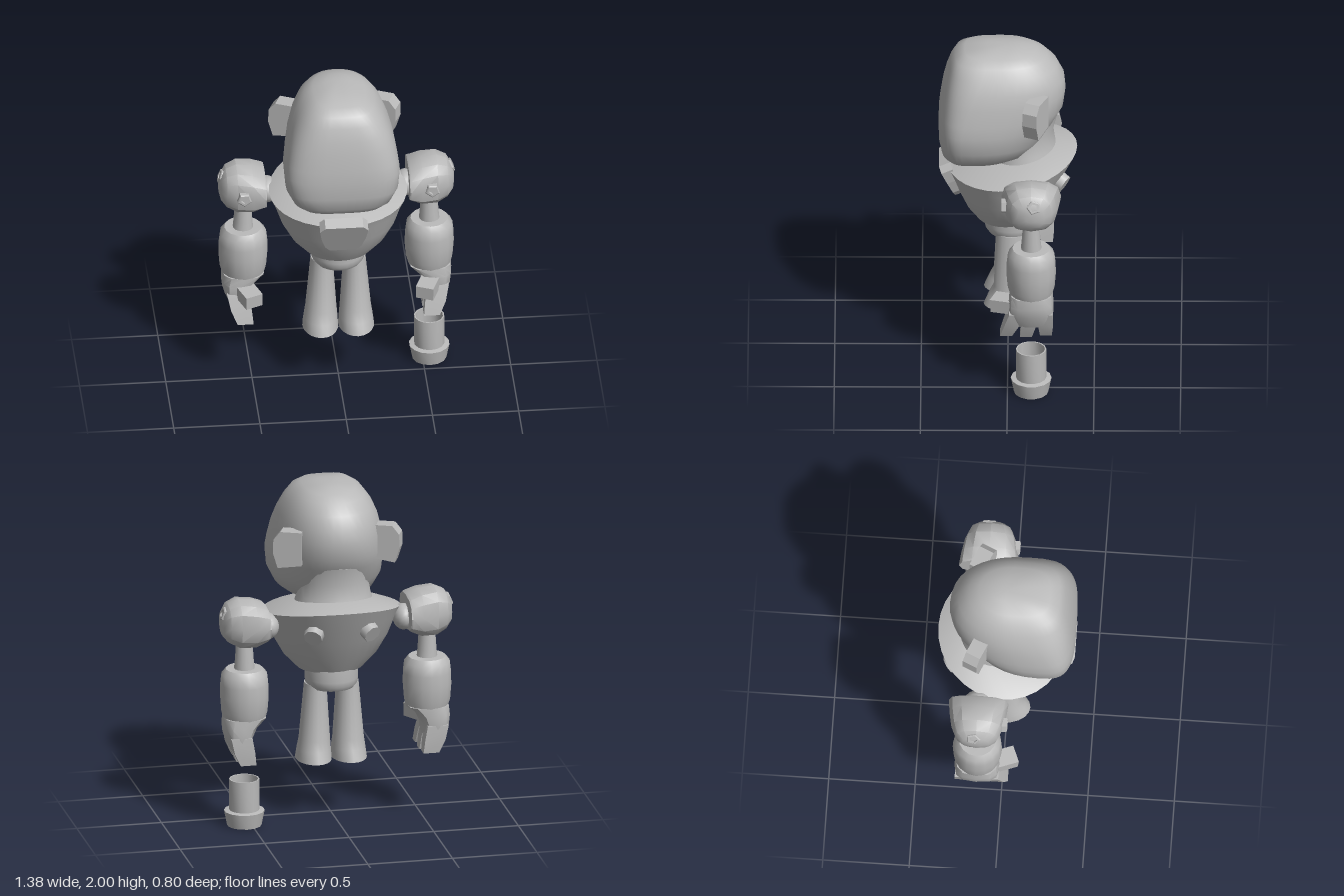
import * as THREE from 'three';
import { toCreasedNormals } from 'three/addons/utils/BufferGeometryUtils.js';

const shell = new THREE.MeshStandardMaterial({ color: 0xbababa });
shell.name = 'plain grey';
const hollow = shell.clone();
hollow.name = 'plain grey open';
hollow.side = THREE.DoubleSide;

// Closed skin over rings stacked upwards: [y, cx, cz, rx, frontDepth, backDepth]
function loft(rings, n, { pf = 2, pb = pf, phase = 0, crease = 0.7, bend } = {}) {
  const pos = [], idx = [];
  const pw = (v, p) => Math.sign(v) * Math.pow(Math.abs(v), 2 / p);
  for (const [y, cx, cz, rx, f, b = f] of rings) {
    for (let j = 0; j < n; j++) {
      const t = phase + (j / n) * Math.PI * 2, c = Math.cos(t), s = Math.sin(t);
      const p = s >= 0 ? pf : pb;
      const z = cz + pw(s, p) * (s >= 0 ? f : b);
      pos.push(cx + rx * pw(c, p), bend ? bend(y, z) : y, z);
    }
  }
  for (let i = 0; i < rings.length - 1; i++) {
    for (let j = 0; j < n; j++) {
      const k = (j + 1) % n, a = i * n + j, b = i * n + k;
      idx.push(a, a + n, b + n, a, b + n, b);
    }
  }
  // end caps
  const last = (rings.length - 1) * n, bottom = pos.length / 3;
  for (const r of [rings[0], rings[rings.length - 1]]) pos.push(r[1], bend ? bend(r[0], r[2]) : r[0], r[2]);
  for (let j = 0; j < n; j++) {
    const k = (j + 1) % n;
    idx.push(bottom, j, k, bottom + 1, last + k, last + j);
  }
  const g = new THREE.BufferGeometry();
  g.setAttribute('position', new THREE.Float32BufferAttribute(pos, 3));
  g.setIndex(idx);
  return toCreasedNormals(g, crease);
}

function lathe(points, n, crease = 0.7) {
  return toCreasedNormals(new THREE.LatheGeometry(points.map(p => new THREE.Vector2(...p)), n), crease);
}

function add(parent, name, geo, x = 0, y = 0, z = 0, mat = shell) {
  const m = new THREE.Mesh(geo, mat);
  m.name = name;
  m.position.set(x, y, z);
  parent.add(m);
  return m;
}

// Turns a part so its y axis points along a direction
function aim(mesh, x, y, z) {
  mesh.quaternion.setFromUnitVectors(new THREE.Vector3(0, 1, 0), new THREE.Vector3(x, y, z).normalize());
  return mesh;
}

function buildArm() {
  const arm = new THREE.Group();
  // shoulder: dome opening towards the body
  const shoulder = loft([
    [-0.125, 0, 0, 0.1, 0.172], [-0.115, 0, 0, 0.108, 0.172], [-0.05, 0.003, 0, 0.138, 0.165],
    [0.04, -0.002, 0, 0.145, 0.148], [0.1, -0.005, 0, 0.115, 0.122],
    [0.132, 0, 0, 0.07, 0.08], [0.142, 0, 0, 0.03, 0.03],
  ], 12, { pf: 2.5, crease: 0.6 }).rotateZ(-Math.PI / 2);
  add(arm, 'shoulder', shoulder, 0, 1.23, 0);
  const joint = add(arm, 'shoulderJoint', new THREE.SphereGeometry(0.09, 16, 12), -0.14, 1.2, 0);
  joint.scale.set(0.7, 0.85, 0.95);

  // five sided bolts with a sunken centre
  const bolt = lathe([[0.045, -0.03], [0.043, 0.015], [0.036, 0.02], [0.022, 0.02], [0.02, 0.005], [0, 0.005]], 5, 0.4);
  aim(add(arm, 'frontBolt', bolt, 0.005, 1.235, 0.155), 0, 0, 1);
  aim(add(arm, 'outerBolt', bolt, 0.118, 1.29, -0.015), 0.9, 0.35, 0);

  add(arm, 'upperArm', lathe([[0.062, 0.93], [0.055, 1], [0.047, 1.12]], 14));
  add(arm, 'forearm', lathe([
    [0, 0.65], [0.122, 0.65], [0.136, 0.7], [0.143, 0.79], [0.141, 0.86],
    [0.134, 0.92], [0.108, 0.952], [0, 0.955],
  ], 16, 0.8));

  // hand: palm, three fingers and a thumb
  add(arm, 'palm', loft([
    [0.47, 0.025, 0.0, 0.06, 0.115], [0.55, 0.04, 0, 0.08, 0.128],
    [0.61, 0.03, 0, 0.098, 0.13], [0.665, 0, 0, 0.125, 0.125],
  ], 12, { pf: 2.8 }));
  const r2 = Math.SQRT2;
  for (const [top, tip, low] of [[0.085, 0.145, 0.39], [0, 0.03, 0.385], [-0.083, -0.085, 0.395]]) {
    add(arm, 'finger', loft([
      [low, 0.0, tip, 0.046 * r2, 0.034 * r2],
      [0.47, 0.022, (top + tip) / 2, 0.06 * r2, 0.042 * r2],
      [0.56, 0.04, top, 0.062 * r2, 0.042 * r2],
    ], 4, { phase: Math.PI / 4, crease: 0.3 }));
  }
  const thumb = add(arm, 'thumb', new THREE.BoxGeometry(0.105, 0.08, 0.2), -0.01, 0.575, 0.125);
  thumb.rotation.set(0.08, -0.38, 0);
  return arm;
}

export function createModel() {
  const model = new THREE.Group();
  model.name = 'robot';

  // head: broad flat face, round back
  add(model, 'head', loft([
    [1.305, 0, 0.2, 0.15, 0.11, 0.2], [1.32, 0, 0.2, 0.235, 0.155, 0.28], [1.36, 0, 0.2, 0.285, 0.185, 0.36],
    [1.44, 0, 0.2, 0.325, 0.2, 0.42], [1.55, 0, 0.2, 0.335, 0.2, 0.48], [1.62, 0, 0.18, 0.325, 0.213, 0.5],
    [1.72, 0, 0.14, 0.307, 0.238, 0.473], [1.8, 0, 0.1, 0.282, 0.26, 0.425], [1.88, 0, 0.06, 0.245, 0.275, 0.345],
    [1.94, 0, 0.04, 0.2, 0.265, 0.265], [1.975, 0, 0.03, 0.15, 0.22, 0.195], [1.995, 0, 0, 0.07, 0.12, 0.09],
    [2, 0, 0, 0.03, 0.05, 0.04],
  ], 40, { pf: 3.4, pb: 2.2, crease: 1.1 }));
  add(model, 'neck', loft([
    [1.28, 0, -0.08, 0.24, 0.2, 0.22], [1.36, 0, -0.08, 0.215, 0.18, 0.195],
    [1.45, 0, -0.08, 0.2, 0.17, 0.182], [1.56, 0, -0.08, 0.21, 0.17, 0.21],
  ], 28, { crease: 1 }));

  // ears: bevelled half-oval plates, turned half way round from each other
  const lobe = new THREE.Shape([[-0.07, 0.11], [0.055, 0.11], [0.095, 0.06], [0.098, -0.02], [0.07, -0.11], [-0.07, -0.09]]
    .map(p => new THREE.Vector2(...p)));
  const earGeo = new THREE.ExtrudeGeometry(lobe, { depth: 0.09, bevelEnabled: false }).translate(0, 0, -0.045);
  add(model, 'leftEar', earGeo, 0.27, 1.67, -0.165).rotation.y = -0.42;
  add(model, 'rightEar', earGeo, -0.285, 1.67, -0.155).rotation.y = Math.PI - 0.42;

  // torso: bowl whose rim climbs towards the back
  const climb = (y, z) => {
    const w = Math.min(1, Math.max(0, (y - 0.9) / 0.33));
    const u = Math.max(0, (0.36 - z) / 0.76);
    return y + 0.1 * w * u * u;
  };
  add(model, 'torso', loft([
    [0.89, 0, 0.015, 0.195, 0.175], [0.97, 0, 0.01, 0.275, 0.235, 0.23], [1.07, 0, 0, 0.335, 0.29, 0.29],
    [1.17, 0, -0.015, 0.373, 0.345, 0.345], [1.225, 0, -0.02, 0.4, 0.375, 0.38],
    [1.29, 0, -0.06, 0.245, 0.24, 0.21],
  ], 32, { bend: climb, crease: 0.5 }));

  // chest plate
  const plate = new THREE.Shape([[-0.11, 0.115], [0.11, 0.115], [0.14, 0.08], [0.128, 0], [0.105, -0.08], [0.075, -0.115],
    [-0.075, -0.115], [-0.105, -0.08], [-0.128, 0], [-0.14, 0.08]].reverse().map(p => new THREE.Vector2(...p)));
  const chest = new THREE.ExtrudeGeometry(plate, { depth: 0.07, bevelEnabled: false }).translate(0, 0, -0.07);
  add(model, 'chestPlate', chest, 0, 1.14, 0.35).rotation.x = 0.43;

  add(model, 'pelvis', lathe([[0, 0.775], [0.135, 0.775], [0.152, 0.8], [0.155, 0.83], [0.155, 0.9]], 24), 0, 0, -0.02);

  for (const side of [1, -1]) {
    // back vents
    aim(add(model, 'backVent', new THREE.CylinderGeometry(0.055, 0.06, 0.06, 8), side * 0.165, 1.18, -0.305),
      side * 0.4, -0.42, -0.8);
    // legs with flared feet
    add(model, 'leg', loft([
      [0.335, side * 0.104, -0.01, 0.104, 0.15], [0.4, side * 0.102, -0.012, 0.098, 0.125],
      [0.46, side * 0.1, -0.018, 0.091, 0.1], [0.8, side * 0.095, -0.02, 0.064, 0.085],
    ], 20, { crease: 0.8 }));
    const arm = buildArm();
    arm.name = side > 0 ? 'leftArm' : 'rightArm';
    arm.position.set(side * 0.54, 0, -0.137);
    arm.scale.x = side;
    model.add(arm);
  }

  // loose hollow cup below the left hand
  add(model, 'looseCup', lathe([
    [0, 0.05], [0.075, 0.05], [0.08, 0], [0.1, 0], [0.118, 0.09], [0.088, 0.095],
    [0.088, 0.28], [0.08, 0.28], [0.08, 0.06], [0, 0.06],
  ], 14, 0.6), 0.54, 0, -0.137, hollow);

  return model;
}
